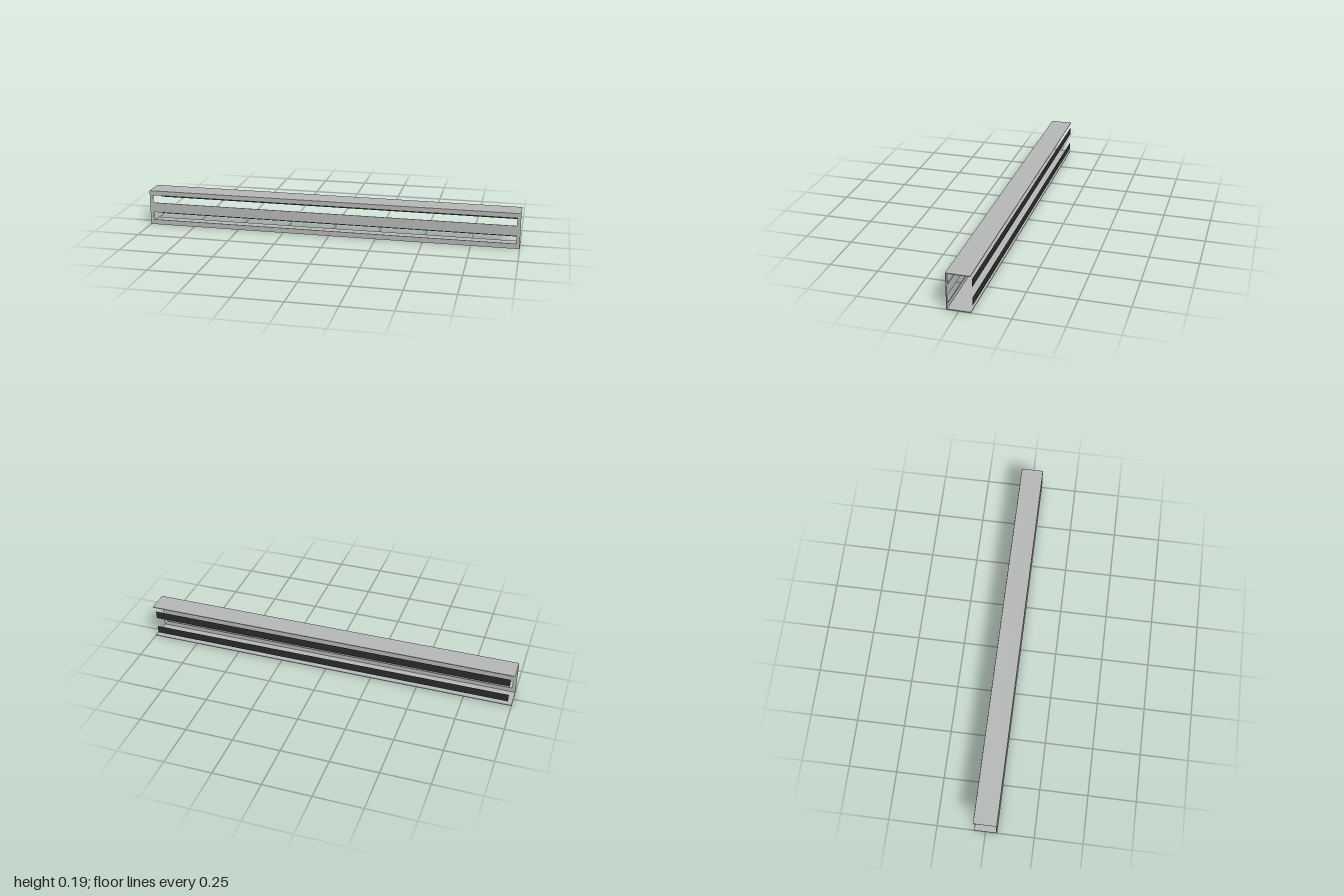
import * as THREE from 'three';

const LENGTH = 2, HEIGHT = 0.19, WALL = 0.004;
const FRONT = 0.06, BACK = -0.058;
const SLOT_LENGTH = 1.962, SLOT_HEIGHT = 0.042;
const SLOT_CENTRES = [0.048, 0.144];

export function createModel() {
  const model = new THREE.Group();
  model.name = 'slottedChannel';
  const metal = new THREE.MeshStandardMaterial({ color: 0xb4b7b5 });
  metal.name = 'grey metal';
  const dark = new THREE.MeshStandardMaterial({ color: 0x2b2b2b, side: THREE.DoubleSide });
  dark.name = 'dark strip';

  const add = (name, geometry, material, x, y, z) => {
    const mesh = new THREE.Mesh(geometry, material);
    mesh.name = name;
    mesh.position.set(x, y, z);
    model.add(mesh);
  };

  // Front face with two long slots
  const rectangle = (path, w, y0, y1) => {
    path.moveTo(-w / 2, y0);
    path.lineTo(w / 2, y0);
    path.lineTo(w / 2, y1);
    path.lineTo(-w / 2, y1);
    path.closePath();
    return path;
  };
  const face = rectangle(new THREE.Shape(), LENGTH, 0, HEIGHT);
  for (const y of SLOT_CENTRES) {
    face.holes.push(rectangle(new THREE.Path(), SLOT_LENGTH, y - SLOT_HEIGHT / 2, y + SLOT_HEIGHT / 2));
  }
  const faceGeometry = new THREE.ExtrudeGeometry(face, { depth: WALL, bevelEnabled: false });
  add('frontFace', faceGeometry, metal, 0, 0, FRONT - WALL);

  // Top and bottom flanges behind the face
  const depth = FRONT - WALL - BACK;
  const flange = new THREE.BoxGeometry(LENGTH, WALL, depth);
  add('bottomFlange', flange, metal, 0, WALL / 2, BACK + depth / 2);
  add('topFlange', flange, metal, 0, HEIGHT - WALL / 2, BACK + depth / 2);

  // Dark strips standing at the open back, level with the slots
  const strip = new THREE.PlaneGeometry(SLOT_LENGTH, SLOT_HEIGHT);
  SLOT_CENTRES.forEach((y, i) => add(i ? 'upperStrip' : 'lowerStrip', strip, dark, 0, y, -0.06));

  return model;
}
